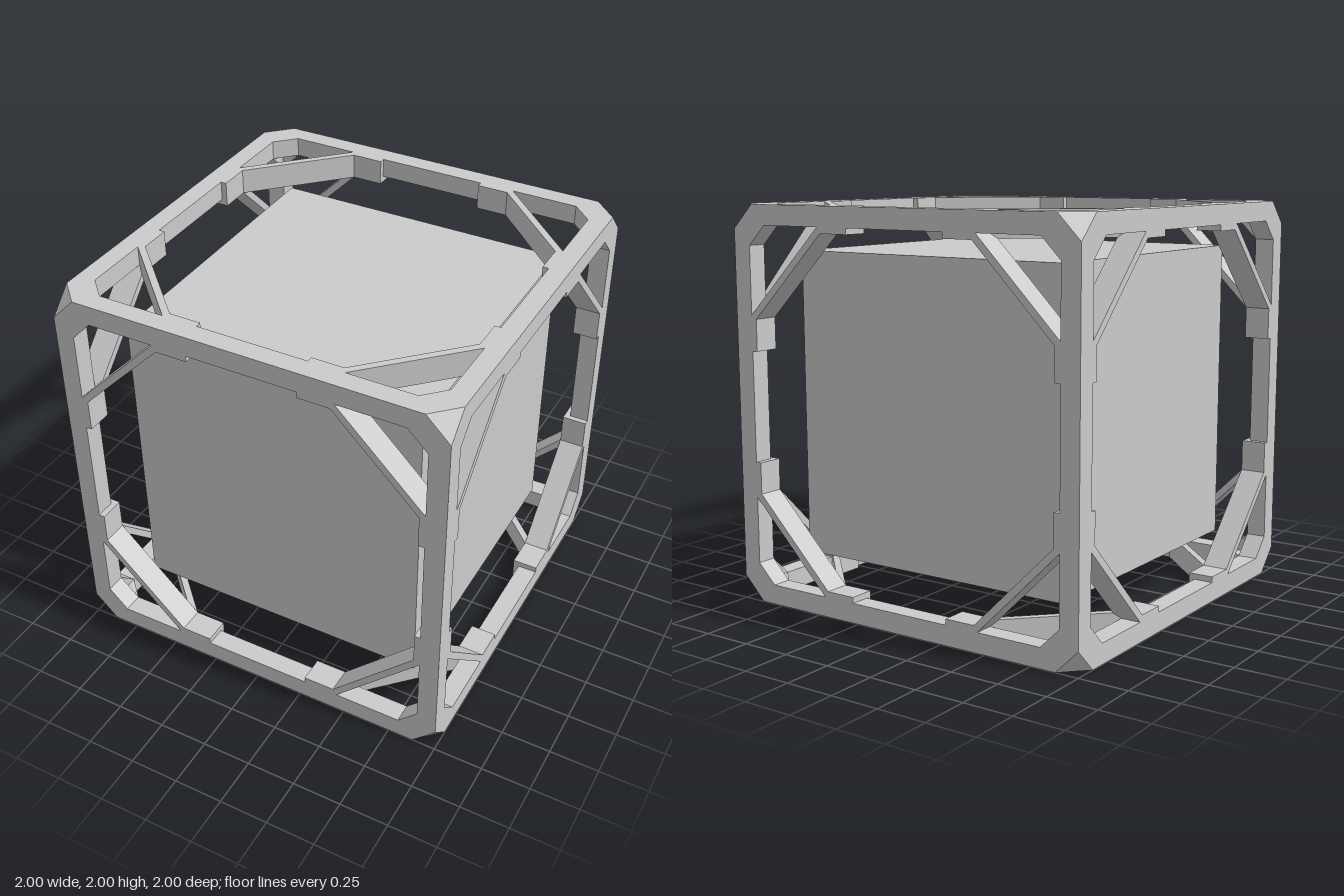
import * as THREE from 'three';
import { ConvexGeometry } from 'three/addons/geometries/ConvexGeometry.js';

const material = new THREE.MeshStandardMaterial({ color: 0xcccccc, flatShading: true });

function addMesh(parent, name, geometry) {
  const mesh = new THREE.Mesh(geometry, material);
  mesh.name = name;
  parent.add(mesh);
  return mesh;
}

// Points of a square with its four corners cut off
function cutSquare(half, cut) {
  const a = half - cut;
  return [
    [half, -a], [half, a], [a, half], [-a, half],
    [-half, a], [-half, -a], [-a, -half], [a, -half],
  ].map(([x, y]) => new THREE.Vector2(x, y));
}

// Extrudes a shape so that its outer face lies on z = 1
function facePlate(shape, depth) {
  return new THREE.ExtrudeGeometry(shape, { depth, bevelEnabled: false }).translate(0, 0, 1 - depth);
}

export function createModel() {
  const model = new THREE.Group();
  model.name = 'framedCube';
  const cube = new THREE.Group();
  cube.name = 'cube';
  cube.position.y = 1;
  model.add(cube);

  // Solid core floating inside the frame
  addMesh(cube, 'core', new THREE.BoxGeometry(1.54, 1.54, 1.54));

  // Square frame of one face, with an eight-sided opening
  const frameShape = new THREE.Shape(cutSquare(1, 0.12));
  frameShape.holes.push(new THREE.Path(cutSquare(0.9, 0.1).reverse()));
  const frameGeometry = facePlate(frameShape, 0.1);

  // Diagonal brace across one corner of the opening
  const braceShape = new THREE.Shape([
    [0.9, 0.44], [0.9, 0.46], [0.46, 0.9], [0.44, 0.9], [0.44, 0.87], [0.87, 0.44],
  ].map(([x, y]) => new THREE.Vector2(x, y)));
  const braceGeometry = facePlate(braceShape, 0.13);

  // Six faces, each a frame and four braces
  const turns = [
    ['front', 0, 0], ['left', 0, Math.PI / 2], ['back', 0, Math.PI],
    ['right', 0, -Math.PI / 2], ['top', -Math.PI / 2, 0], ['bottom', Math.PI / 2, 0],
  ];
  for (const [side, rx, ry] of turns) {
    const face = new THREE.Group();
    face.name = side + 'Face';
    face.rotation.set(rx, ry, 0);
    cube.add(face);
    addMesh(face, 'frame', frameGeometry);
    for (let i = 0; i < 4; i++) {
      addMesh(face, 'brace', braceGeometry).rotation.z = i * Math.PI / 2;
    }
  }

  // Thickened sleeves, two on each of the twelve bars
  const sleeveGeometry = new THREE.BoxGeometry(0.17, 0.13, 0.13);
  const bars = [[0, 0, 0], [0, 0, Math.PI / 2], [0, Math.PI / 2, 0]];
  for (const rotation of bars) {
    const sleeves = new THREE.Group();
    sleeves.name = 'sleeves';
    sleeves.rotation.set(...rotation);
    cube.add(sleeves);
    for (const x of [-1, 1]) for (const y of [-1, 1]) for (const z of [-1, 1]) {
      addMesh(sleeves, 'sleeve', sleeveGeometry).position.set(x * 0.365, y * 0.935, z * 0.935);
    }
  }

  // Slanted caps closing the eight cut corners
  for (const x of [-1, 1]) for (const y of [-1, 1]) for (const z of [-1, 1]) {
    const corner = [[0.88, 1, 1], [1, 0.88, 1], [1, 1, 0.88], [0.9, 0.9, 0.9]];
    addMesh(cube, 'cornerCap', new ConvexGeometry(
      corner.map((p) => new THREE.Vector3(p[0] * x, p[1] * y, p[2] * z))));
  }

  return model;
}
